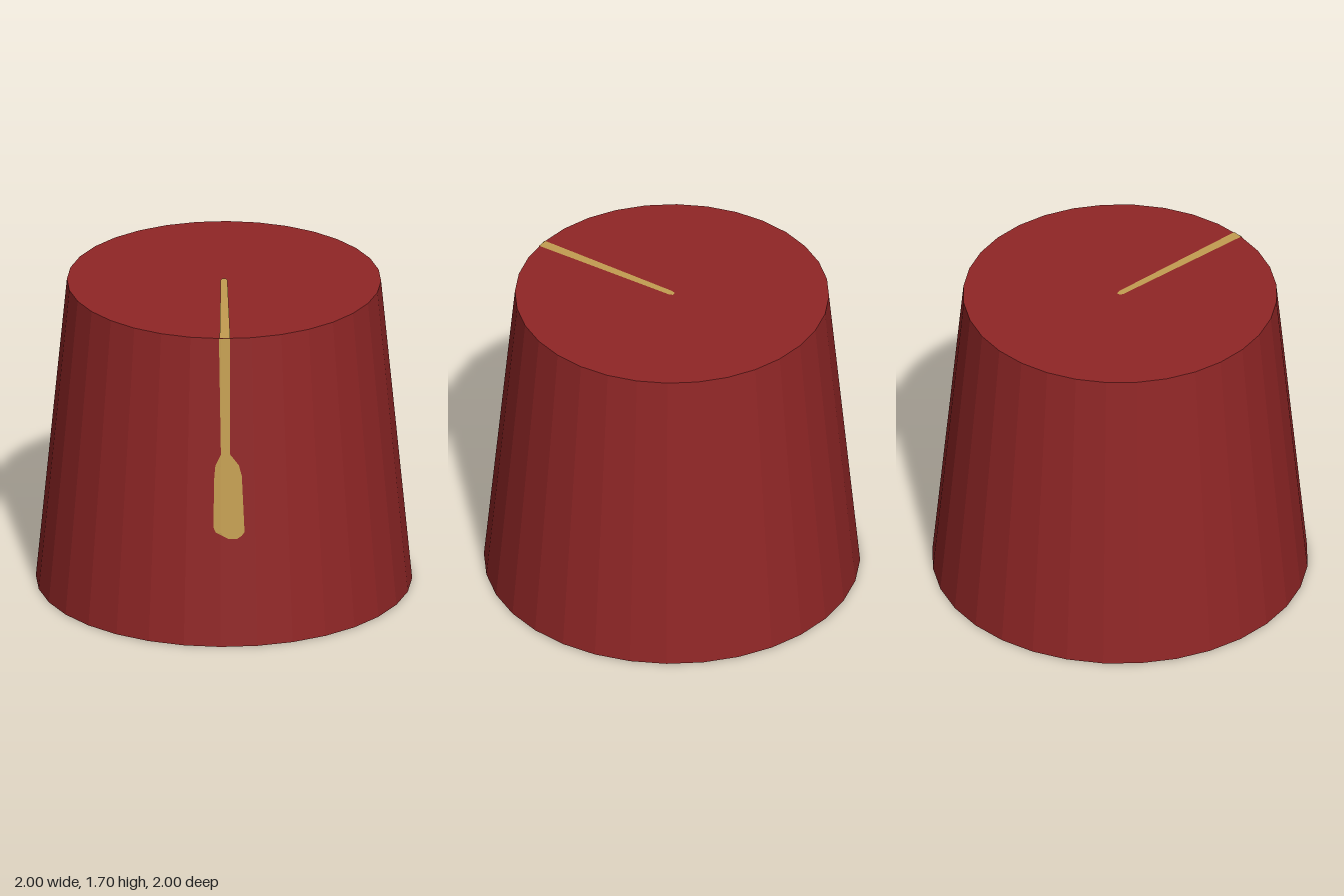
import * as THREE from 'three';

const SIDES = 32, HEIGHT = 1.7, R_BOTTOM = 1, R_TOP = 0.835;
const STEP = (Math.PI * 2) / SIDES;
const LIFT = 0.003; // how far painted plates sit off the cloth

const radiusAt = (y) => R_BOTTOM + (R_TOP - R_BOTTOM) * (y / HEIGHT);

// Point on the faceted wall at an angle from +z towards +x
function wallPoint(angle, y, lift) {
  const mid = (Math.floor(angle / STEP) + 0.5) * STEP;
  const r = (radiusAt(y) * Math.cos(STEP / 2)) / Math.cos(angle - mid) + lift;
  return [r * Math.sin(angle), y, r * Math.cos(angle)];
}

// Tassel outline: height, left x, right x
const TASSEL = [
  [1.70, -0.472, -0.423], [1.06, -0.497, -0.455], [1.00, -0.524, -0.418],
  [0.94, -0.532, -0.407], [0.66, -0.551, -0.410], [0.63, -0.542, -0.411],
  [0.61, -0.510, -0.425], [0.594, -0.485, -0.448],
];

// Strip that follows the wall, folded at the facet edge it crosses
function tasselGeometry(lift) {
  const fold = -3 * STEP;
  const positions = [], index = [];
  TASSEL.forEach(([y, xl, xr], row) => {
    const [a, b] = [xl, xr].map((x) => Math.asin(x / (radiusAt(y) * 0.998)));
    const middle = Math.min(Math.max(fold, a), b);
    for (const angle of [a, middle, b]) positions.push(...wallPoint(angle, y, lift));
    if (row === 0) return;
    for (let c = 0; c < 2; c++) {
      const p = (row - 1) * 3 + c, q = row * 3 + c;
      index.push(p, q, p + 1, p + 1, q, q + 1);
    }
  });
  const g = new THREE.BufferGeometry();
  g.setAttribute('position', new THREE.Float32BufferAttribute(positions, 3));
  g.setIndex(index);
  g.computeVertexNormals();
  return g;
}

// Cord lying on the crown, from its centre to the rim
function cordGeometry() {
  const shape = new THREE.Shape([
    [-0.01, 0.012], [0.01, 0.012], [0.018, -0.01], [0.028, -0.833], [-0.028, -0.833], [-0.018, -0.01],
  ].map(([x, y]) => new THREE.Vector2(x, y)));
  return new THREE.ShapeGeometry(shape).rotateX(-Math.PI / 2).rotateY(-0.564);
}

export function createModel() {
  const felt = new THREE.MeshStandardMaterial({ color: 0x902626, flatShading: true, side: THREE.DoubleSide });
  felt.name = 'red felt';
  const gold = new THREE.MeshStandardMaterial({ color: 0xc39d51, flatShading: true, side: THREE.DoubleSide });
  gold.name = 'gold thread';

  const hat = new THREE.Group();
  hat.name = 'hat';
  const add = (name, geometry, material, y = 0) => {
    const mesh = new THREE.Mesh(geometry, material);
    mesh.name = name;
    mesh.position.y = y;
    hat.add(mesh);
  };

  // Hollow tapered body, open at the bottom
  add('wall', new THREE.CylinderGeometry(R_TOP, R_BOTTOM, HEIGHT, SIDES, 1, true), felt, HEIGHT / 2);
  add('crown', new THREE.CircleGeometry(R_TOP, SIDES).rotateX(-Math.PI / 2), felt, HEIGHT);

  // Cord and tassel show on both the outside and the inside
  for (const [side, lift] of [['outer', LIFT], ['inner', -LIFT]]) {
    add(side + 'Cord', cordGeometry(), gold, HEIGHT + lift);
    add(side + 'Tassel', tasselGeometry(lift), gold);
  }
  return hat;
}
